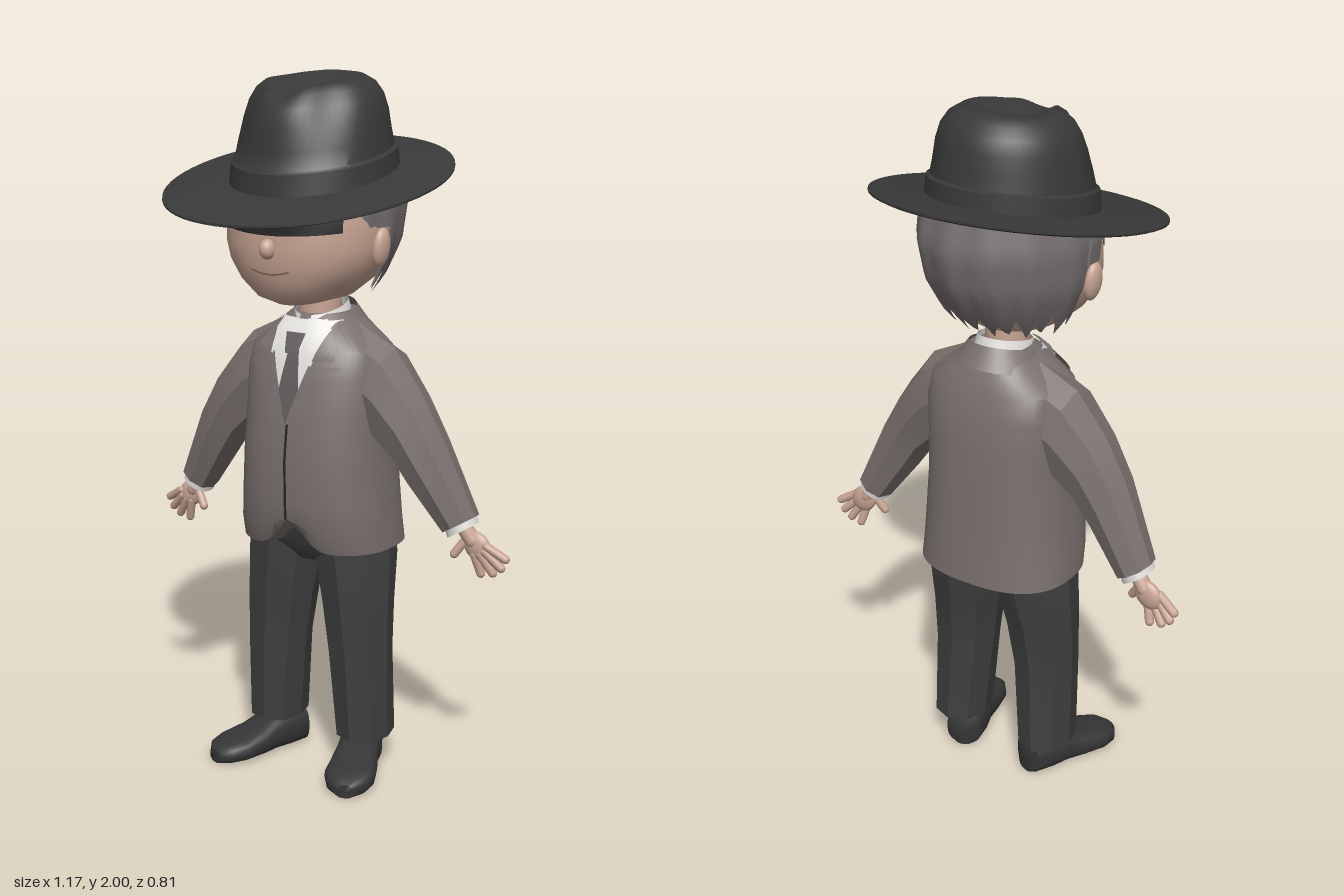
import * as THREE from 'three';
import { toCreasedNormals } from 'three/addons/utils/BufferGeometryUtils.js';

const colour = (name, hex, double) => {
  const m = new THREE.MeshStandardMaterial({ color: hex });
  m.name = name;
  if (double) m.side = THREE.DoubleSide;
  return m;
};
const lerp = THREE.MathUtils.lerp;

// Surface from a rule f(u, v) -> [x, y, z]; optional caps close the two v ends
function grid(f, nu, nv, caps = false, crease = 0.6) {
  const pos = [], idx = [];
  for (let j = 0; j <= nv; j++) for (let i = 0; i <= nu; i++) pos.push(...f(i / nu, j / nv));
  const at = (i, j) => j * (nu + 1) + i;
  for (let j = 0; j < nv; j++) for (let i = 0; i < nu; i++) {
    const a = at(i, j), b = at(i + 1, j), c = at(i + 1, j + 1), d = at(i, j + 1);
    idx.push(a, b, c, a, c, d);
  }
  if (caps) for (const j of [0, nv]) {
    const c = [0, 0, 0], k = pos.length / 3;
    for (let i = 0; i < nu; i++) for (let n = 0; n < 3; n++) c[n] += pos[at(i, j) * 3 + n] / nu;
    pos.push(...c);
    for (let i = 0; i < nu; i++) j ? idx.push(at(i, j), at(i + 1, j), k) : idx.push(at(i + 1, j), at(i, j), k);
  }
  const g = new THREE.BufferGeometry();
  g.setAttribute('position', new THREE.Float32BufferAttribute(pos, 3));
  g.setIndex(idx);
  return toCreasedNormals(g, crease);
}

// Linear reading of a table of rows at the key in column 0
function sample(rows, t) {
  let i = 0;
  while (i < rows.length - 2 && t > rows[i + 1][0]) i++;
  const k = THREE.MathUtils.clamp((t - rows[i][0]) / (rows[i + 1][0] - rows[i][0]), 0, 1);
  return rows[i].map((a, n) => lerp(a, rows[i + 1][n], k));
}

const pow = (c, n) => Math.sign(c) * Math.abs(c) ** (2 / n);
// Body of stacked superellipse rings [y, halfWidth, zFront, zBack]
function body(rings, n, segs, adjust = p => p, crease = 0.6) {
  const last = rings.length - 1;
  return grid((u, v) => {
    const j = Math.round(v * last), [y, w, zf, zb] = rings[j], a = u * Math.PI * 2;
    return adjust([w * pow(Math.sin(a), n), y, (zf + zb) / 2 + (zf - zb) / 2 * pow(Math.cos(a), n)], j);
  }, segs, last, true, crease);
}
// Thin patch lying on the front of such a body, between x edges given per height
function patch(rings, n, y0, y1, edges, offset, bend = 0) {
  return grid((u, v) => {
    const h = lerp(y0, y1, v), [xl, xr] = edges(h), x = lerp(xl, xr, u), y = h + bend * x * x;
    const [, w, zf, zb] = sample(rings, y);
    const f = Math.max(0, 1 - Math.min(1, Math.abs(x) / w) ** n) ** (1 / n);
    return [x, y, (zf + zb) / 2 + (zf - zb) / 2 * f + offset];
  }, 14, 10);
}
// Sleeve of sections [outerX, outerY, innerX, innerY, z, halfDepth]
const sleeve = (s, segs, crease) => grid((u, v) => {
  const [ox, oy, ix, iy, z, d] = s[Math.round(v * (s.length - 1))], a = u * Math.PI * 2;
  const k = (1 + pow(Math.cos(a), 2.4)) / 2;
  return [lerp(ix, ox, k), lerp(iy, oy, k), z + d * pow(Math.sin(a), 2.4)];
}, segs, s.length - 1, true, crease);

// Rounded rod between two points
function rod(a, b, r) {
  const A = new THREE.Vector3(...a), B = new THREE.Vector3(...b), d = B.clone().sub(A);
  const g = new THREE.CapsuleGeometry(r, d.length(), 4, 10);
  g.applyQuaternion(new THREE.Quaternion().setFromUnitVectors(new THREE.Vector3(0, 1, 0), d.normalize()));
  return g.translate(...A.add(B).multiplyScalar(0.5).toArray());
}
const ball = (x, y, z, sx, sy, sz, turn = 0) =>
  new THREE.SphereGeometry(1, 20, 14).scale(sx, sy, sz).rotateZ(turn).translate(x, y, z);

function mirrored(geo) {
  const g = geo.index ? geo.toNonIndexed() : geo.clone();
  g.scale(-1, 1, 1);
  for (const at of [g.attributes.position, g.attributes.normal]) {
    for (let i = 0; i < at.count; i += 3) {
      const p = [at.getX(i + 1), at.getY(i + 1), at.getZ(i + 1)];
      at.setXYZ(i + 1, at.getX(i + 2), at.getY(i + 2), at.getZ(i + 2));
      at.setXYZ(i + 2, ...p);
    }
  }
  return g;
}

export function createModel() {
  const model = new THREE.Group();
  const felt = colour('black felt', 0x393939), cloth = colour('charcoal trousers', 0x404040);
  const wool = colour('grey wool', 0x7a716e, true), skin = colour('skin', 0xc8a594);
  const grey = colour('grey hair', 0x777071, true), linen = colour('white shirt', 0xe4e2de, true);
  const silk = colour('dark grey tie', 0x625d5f, true), leather = colour('black leather', 0x363636);
  const shade = colour('black mask', 0x262626, true), lip = colour('mouth', 0x8c6c60, true);
  const add = (name, geo, mat) => {
    const m = new THREE.Mesh(geo, mat);
    m.name = name;
    model.add(m);
  };
  const pair = (name, geo, mat) => {
    add(name + 'Left', geo, mat);
    add(name + 'Right', mirrored(geo), mat);
  };

  // Jacket, with the fronts cut away at the hem
  const torso = [[0.68, 0.232, 0.095, -0.27], [0.74, 0.228, 0.115, -0.266], [0.82, 0.222, 0.12, -0.262],
    [0.95, 0.213, 0.122, -0.255], [1.08, 0.21, 0.105, -0.25], [1.18, 0.213, 0.085, -0.24],
    [1.25, 0.2, 0.065, -0.222], [1.3, 0.135, 0.04, -0.205], [1.345, 0.085, 0, -0.18]];
  add('jacket', body(torso, 2.5, 56, (p, j) => {
    if (j < 2 && p[2] > 0) p[1] += (j ? 0.035 : 0.08) * Math.exp(-((p[0] / 0.06) ** 2));
    return p;
  }), wool);
  const on = (y0, y1, e, off, bend) => patch(torso, 2.5, y0, y1, e, off, bend);
  add('frontSeam', on(0.775, 1.06, () => [-0.004, 0.004], 0.003), shade);
  const vee = y => 0.004 + (y - 1.05) * 0.33;
  add('shirtFront', on(1.05, 1.33, y => [-vee(y), vee(y)], 0.006), linen);
  add('tieBlade', on(1.05, 1.255, y => {
    const w = Math.min(vee(y), 0.034 - Math.max(0, y - 1.13) * 0.14);
    return [-w, w];
  }, 0.012), silk);
  add('tieKnot', on(1.245, 1.3, y => [-0.02 - (y - 1.245) * 0.2, 0.02 + (y - 1.245) * 0.2], 0.024), silk);
  pair('lapel', on(1.05, 1.215, y => [vee(y) - 0.004, 0.004 + (y - 1.05) * 0.88], 0.014), wool);
  pair('collarFlap', on(1.228, 1.325, y => [vee(y), Math.min(0.125, 0.125 - (y - 1.25) * 0.3)], 0.015), wool);
  pair('shirtCollarPoint', on(1.24, 1.335, y => {
    const k = (y - 1.24) / 0.095;
    return [lerp(0.062, 0.018, k), lerp(0.068, 0.07, k)];
  }, 0.022), linen);

  // Collars, tilted up towards the back
  const ring = (r0, r1, from, n) => grid((u, v) => {
    const a = lerp(from, Math.PI * 2 - from, u), [y, w, zf, zb] = r0.map((q, i) => lerp(q, r1[i], v));
    const z = (zf + zb) / 2 + (zf - zb) / 2 * Math.cos(a);
    return [w * Math.sin(a), y - 0.25 * (z + 0.06), z];
  }, n, 3);
  add('shirtCollar', ring([1.285, 0.09, 0.045, -0.175], [1.36, 0.07, 0.015, -0.155], 0.25, 32), linen);
  add('jacketCollar', ring([1.275, 0.135, 0.055, -0.215], [1.34, 0.092, 0.03, -0.178], 0.95, 28), wool);
  add('neck', new THREE.CylinderGeometry(0.06, 0.062, 0.16, 20).translate(0, 1.35, -0.06), skin);

  // Sleeves, cuffs and hands
  pair('sleeve', sleeve([[0.12, 1.315, 0.12, 1.05, -0.08, 0.1], [0.235, 1.258, 0.19, 1.0, -0.075, 0.1],
    [0.322, 1.145, 0.26, 0.94, -0.07, 0.088], [0.388, 1.03, 0.305, 0.878, -0.072, 0.08],
    [0.487, 0.81, 0.398, 0.757, -0.09, 0.06]], 8, 0.35), wool);
  pair('cuff', sleeve([[0.476, 0.815, 0.402, 0.772, -0.09, 0.051], [0.488, 0.788, 0.412, 0.743, -0.09, 0.05]], 16, 0.5), linen);
  pair('wrist', rod([0.44, 0.785, -0.095], [0.475, 0.738, -0.1], 0.024), skin);
  pair('palm', ball(0.489, 0.722, -0.102, 0.046, 0.038, 0.02, -0.85), skin);
  const fingers = [[0.458, 0.74, 0.428, 0.695], [0.483, 0.7, 0.499, 0.643], [0.5, 0.703, 0.535, 0.65],
    [0.515, 0.712, 0.56, 0.668], [0.52, 0.728, 0.573, 0.696]];
  fingers.forEach(([x0, y0, x1, y1], i) =>
    pair(i ? 'finger' + i : 'thumb', rod([x0, y0, -0.095], [x1, y1, i ? -0.108 : -0.082], 0.0125), skin));

  // Trousers with a front crease
  const leg = [[0.1, 0.075, 0.225, 0.015, -0.168], [0.36, 0.05, 0.226, 0.025, -0.155],
    [0.5, 0.03, 0.225, 0.032, -0.17], [0.64, 0.005, 0.222, 0.04, -0.2], [0.76, 0.0, 0.205, 0.045, -0.21]];
  pair('trouserLeg', grid((u, v) => {
    const [y, xi, xo, zf, zb] = leg[Math.round(v * 4)], a = u * Math.PI * 2;
    return [(xi + xo) / 2 + (xo - xi) / 2 * pow(Math.sin(a), 2.5), y, (zf + zb) / 2 + (zf - zb) / 2 * pow(Math.cos(a), 2.5)];
  }, 8, 4, true, 0.3), cloth);
  add('trouserSeat', body([[0.63, 0.06, 0.01, -0.16], [0.69, 0.19, 0.05, -0.2], [0.82, 0.19, 0.07, -0.21]], 2.5, 24), cloth);

  // Shoes, toes turned out: [length, halfWidth, height]
  const shoe = [[-0.07, 0.03, 0.08], [-0.058, 0.052, 0.108], [0, 0.062, 0.115], [0.055, 0.06, 0.105],
    [0.11, 0.068, 0.08], [0.18, 0.073, 0.065], [0.225, 0.058, 0.055], [0.252, 0.025, 0.04]];
  pair('shoe', grid((u, v) => {
    const [z, w, h] = shoe[Math.round(v * 7)], a = u * Math.PI * 2;
    return [w * pow(Math.cos(a), 2.8), h / 2 + h / 2 * pow(Math.sin(a), 2.8), z];
  }, 24, 7, true, 0.9).rotateY(0.35).translate(0.137, 0, -0.075), leather);

  // Head and face
  const head = [[1.385, 0.06, 0.12, -0.1], [1.405, 0.125, 0.16, -0.14], [1.45, 0.18, 0.185, -0.18],
    [1.5, 0.215, 0.197, -0.2], [1.55, 0.23, 0.203, -0.22], [1.62, 0.232, 0.2, -0.23],
    [1.69, 0.225, 0.192, -0.23], [1.75, 0.19, 0.15, -0.22]];
  add('head', body(head, 2.15, 40, undefined, 1.1), skin);
  add('eyeMask', patch(head, 2.15, 1.585, 1.69, () => [-0.188, 0.188], 0.006, 0.3), shade);
  add('mouth', patch(head, 2.15, 1.476, 1.481, () => [-0.06, 0.06], 0.003, 3), lip);
  add('nose', ball(0, 1.548, 0.202, 0.022, 0.028, 0.026), skin);
  pair('ear', ball(0.23, 1.545, 0, 0.022, 0.055, 0.034, -0.12), skin);

  // Hair shell with a ragged lower edge, open at the face: [y, halfWidth, depth]
  const hairShape = [[1.38, 0.15, 0.13], [1.46, 0.198, 0.2], [1.55, 0.235, 0.252], [1.66, 0.247, 0.278], [1.78, 0.228, 0.25]];
  const cols = 72;
  add('hair', grid((u, v) => {
    const a = lerp(0.87, Math.PI * 2 - 0.87, u), fromFront = Math.min(a, Math.PI * 2 - a);
    const i = Math.round(u * cols), tooth = [0, 0.025, 0.05, 0.025][i % 4];
    const low = fromFront < 1.1 ? 1.575 + tooth : fromFront < 1.62 ? 1.6 : 1.405 + tooth + (i % 8 < 4 ? 0 : 0.015);
    const y = lerp(low, 1.715 - 0.206 * (-0.03 + 0.25 * Math.cos(a)), v);
    const [, w, d] = sample(hairShape, y), lock = 1 + 0.014 * Math.sin(a * 13);
    const depth = Math.cos(a) > 0 ? 0.2 : d;
    return [w * lock * Math.sin(a), y, -0.03 + depth * lock * Math.cos(a)];
  }, cols, 10, false, 0.7), grey);

  // Hat brim, sloping down to the front
  const tilt = g => {
    const p = g.attributes.position;
    for (let i = 0; i < p.count; i++) p.setY(i, p.getY(i) - 0.206 * p.getZ(i));
    return toCreasedNormals(g, 0.8);
  };
  const brim = [[0, -0.008], [0.25, -0.008], [0.385, -0.009], [0.396, -0.004], [0.396, 0.002], [0.385, 0.004], [0.23, 0.012], [0, 0.012]];
  add('hatBrim', tilt(new THREE.LatheGeometry(brim.map(p => new THREE.Vector2(...p)), 64).scale(1, 1, 1.018).translate(0, 1.718, 0)), felt);

  // Hat crown with band, front pinches and a teardrop dent: [height, radius]
  const crown = [[0, 0.232], [0.06, 0.226], [0.066, 0.216], [0.11, 0.208], [0.165, 0.2], [0.21, 0.187],
    [0.242, 0.167], [0.262, 0.14], [0.27, 0.11], [0.27, 0.08], [0.27, 0.04], [0.27, 0]];
  add('hatCrown', grid((u, v) => {
    const [h, r] = crown[Math.round(v * 11)], a = u * Math.PI * 2, k = h / 0.27;
    const front = Math.min(a, Math.PI * 2 - a);
    const pinch = 1 - 0.13 * Math.exp(-(((front - 0.8) / 0.35) ** 2)) * THREE.MathUtils.smoothstep(k, 0.3, 0.9);
    const x = r * pinch * Math.sin(a), z = -0.03 + r * pinch * 1.03 * Math.cos(a);
    const wide = 0.035 + 0.28 * Math.max(0, 0.12 - z);
    const dent = 0.045 * Math.exp(-((x / wide) ** 2) - ((z - 0.02) / 0.12) ** 4) * THREE.MathUtils.smoothstep(k, 0.75, 1);
    const slope = lerp(0.206, 0.09, k);
    return [x, 1.722 + h - slope * z - dent - 0.003 * k, z];
  }, 64, 11, false, 0.75), felt);

  return model;
}
